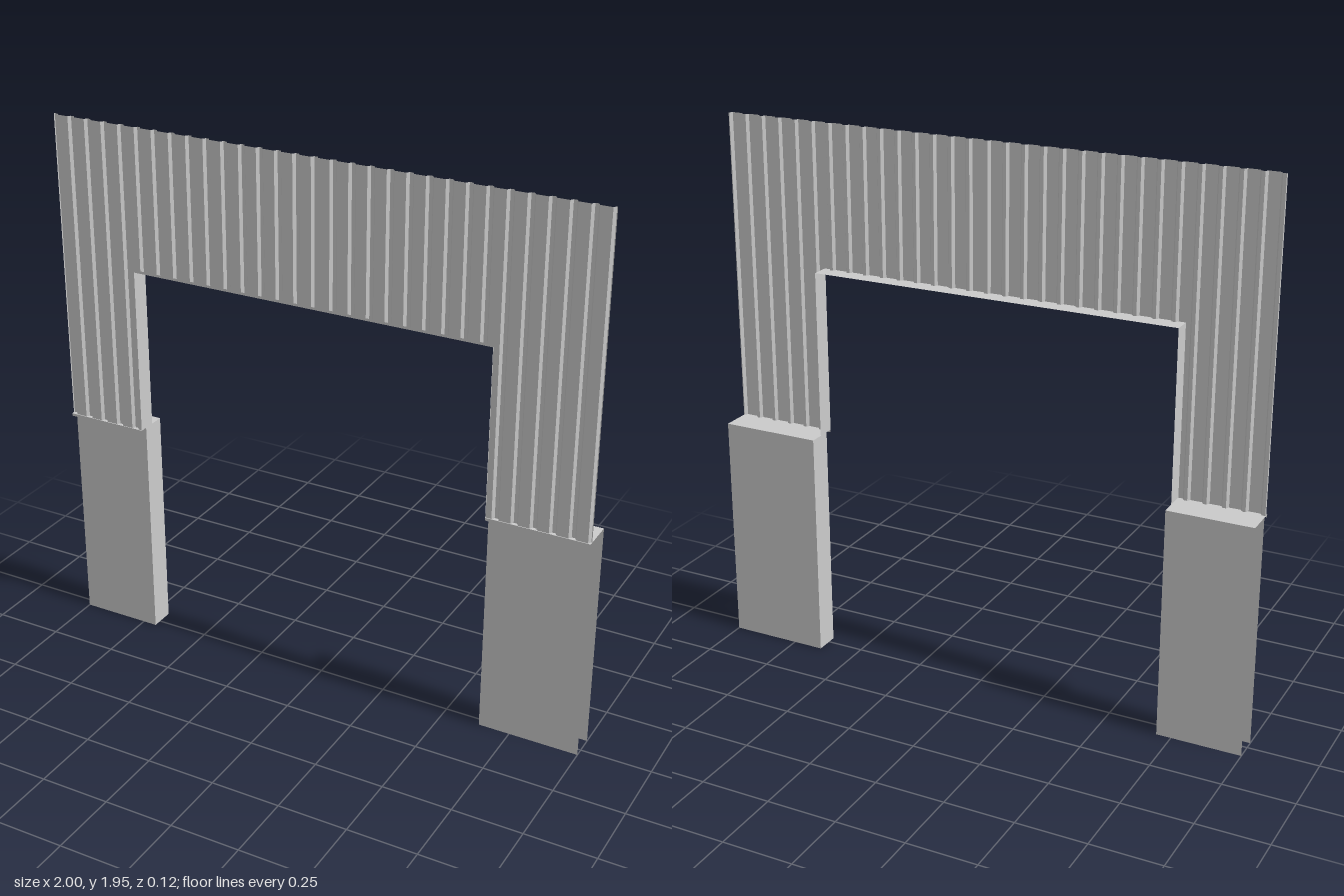
import * as THREE from 'three';

const L = -0.697, R = 0.637;          // opening sides
const SILL = 0.83, HEAD = 1.432, TOP = 1.945;
const mat = new THREE.MeshStandardMaterial({ color: 0xcccccc, side: THREE.DoubleSide, flatShading: true });

function add(parent, geo, name) {
  const mesh = new THREE.Mesh(geo, mat);
  mesh.name = name;
  parent.add(mesh);
  return mesh;
}

// thin panels facing z, x and y
function panelZ(parent, name, x0, x1, y0, y1, z) {
  add(parent, new THREE.PlaneGeometry(x1 - x0, y1 - y0), name).position.set((x0 + x1) / 2, (y0 + y1) / 2, z);
}
function panelX(parent, name, x, y0, y1, z0, z1) {
  const m = add(parent, new THREE.PlaneGeometry(z1 - z0, y1 - y0), name);
  m.rotation.y = Math.PI / 2;
  m.position.set(x, (y0 + y1) / 2, (z0 + z1) / 2);
}
function panelY(parent, name, x0, x1, y, z0, z1) {
  const m = add(parent, new THREE.PlaneGeometry(x1 - x0, z1 - z0), name);
  m.rotation.x = -Math.PI / 2;
  m.position.set((x0 + x1) / 2, y, (z0 + z1) / 2);
}

// depth of the corrugated profile: wide flats with narrow grooves
const PITCH = 0.0665, FIRST = -0.992, FRONT = 0.056, BACK = 0.045;
function profileZ(x) {
  const d = Math.abs(x - FIRST - PITCH * Math.round((x - FIRST) / PITCH));
  return FRONT + (BACK - FRONT) * THREE.MathUtils.clamp((0.013 - d) / 0.007, 0, 1);
}

// one stretch of corrugated sheet from x0 to x1
function sheet(parent, name, x0, x1, y0, y1) {
  const xs = [x0, x1];
  for (let i = 0; i <= 30; i++) {
    for (const o of [-0.013, -0.006, 0.006, 0.013]) {
      const x = FIRST + i * PITCH + o;
      if (x > x0 && x < x1) xs.push(x);
    }
  }
  xs.sort((a, b) => a - b);
  const geo = new THREE.PlaneGeometry(1, 1, xs.length - 1, 1);
  const p = geo.attributes.position;
  for (let i = 0; i < p.count; i++) {
    const x = xs[i % xs.length];
    p.setXYZ(i, x, i < xs.length ? y1 : y0, profileZ(x));
  }
  geo.computeVertexNormals();
  add(parent, geo, name);
}

export function createModel() {
  const group = new THREE.Group();
  group.name = 'doorwayWall';

  // corrugated cladding around the opening
  const cladding = new THREE.Group();
  cladding.name = 'cladding';
  group.add(cladding);
  sheet(cladding, 'rightCladding', -1, L, SILL, TOP);
  sheet(cladding, 'headCladding', L, R, HEAD, TOP);
  sheet(cladding, 'leftCladding', R, 1, SILL, TOP);

  // flashing lining the opening
  const lining = new THREE.Group();
  lining.name = 'openingLining';
  group.add(lining);
  panelY(lining, 'headLining', L, R, HEAD, -0.008, 0.059);
  panelZ(lining, 'headLip', L, R, HEAD, HEAD + 0.009, 0.059);
  for (const x of [L, R]) panelX(lining, 'jambLining', x, SILL, HEAD, -0.008, 0.059);

  // low walls, open at the bottom and outer end, with a drip flashing on top
  for (const [side, x0, x1, inner] of [['right', -1, L, L], ['left', R, 1, R]]) {
    const wall = new THREE.Group();
    wall.name = side + 'LowWall';
    group.add(wall);
    panelZ(wall, 'frontPanel', x0, x1, 0, SILL, 0.031);
    panelZ(wall, 'backPanel', x0, x1, 0, SILL, -0.059);
    panelX(wall, 'innerEnd', inner, 0, SILL, -0.059, 0.031);
    panelY(wall, 'topPanel', x0, x1, SILL, -0.059, 0.031);
    panelY(wall, 'dripFlashing', x0, x1, SILL, 0.031, 0.059);
    panelZ(wall, 'dripLip', x0, x1, SILL - 0.01, SILL, 0.059);
  }
  return group;
}
